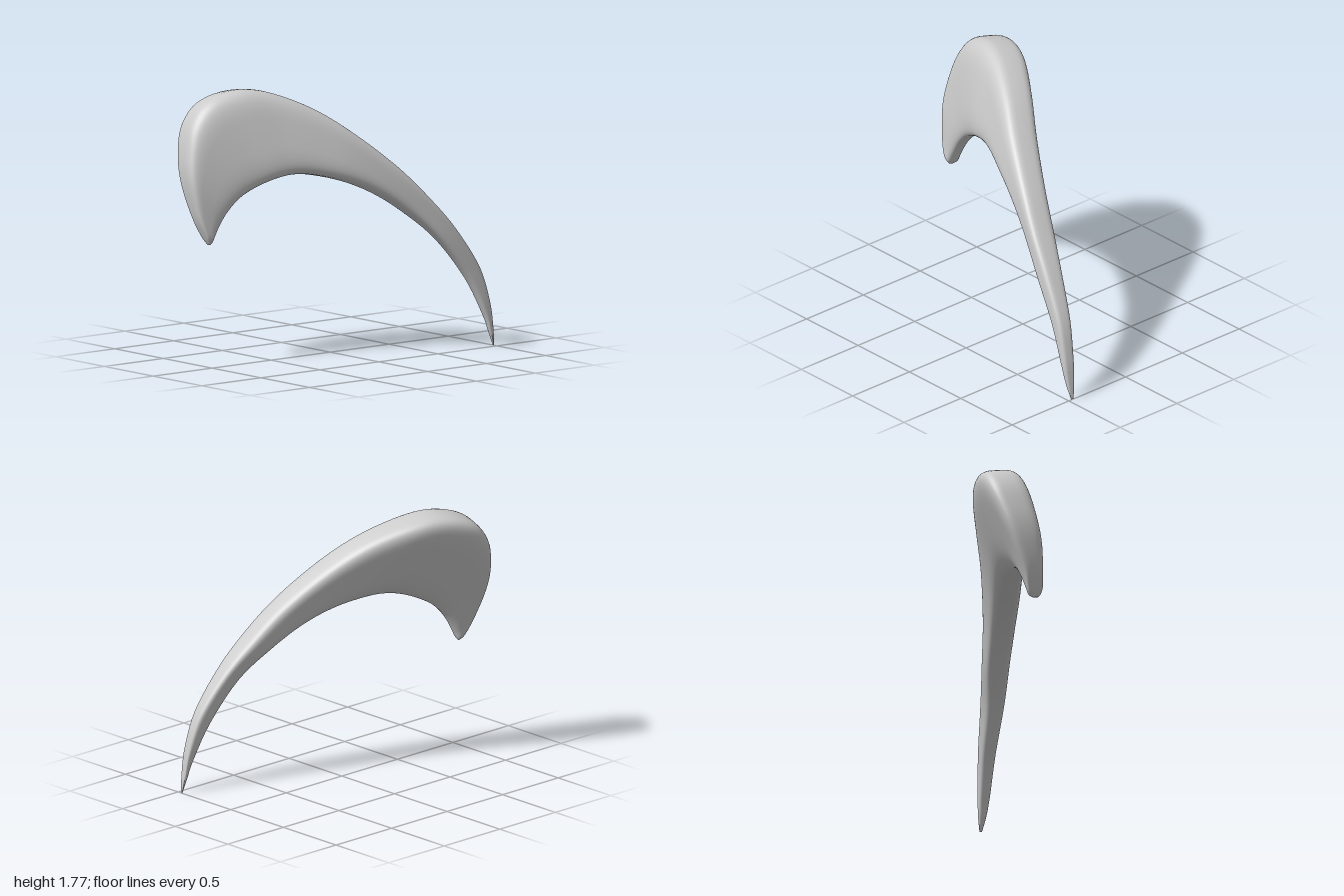
import * as THREE from 'three';

// Stations from the thin tip to the broad end:
// outer edge x, y, z, half thickness | inner edge x, y, z, half thickness
const STATIONS = [
  [1, 0, .468, .008, .996, 0, .468, .008],
  [.987, .13, .466, .026, .963, .09, .467, .024],
  [.96, .3, .46, .038, .92, .21, .46, .035],
  [.89, .53, .435, .052, .8, .46, .425, .047],
  [.73, .79, .38, .072, .6, .73, .37, .058],
  [.56, 1, .315, .09, .4, .92, .28, .073],
  [.36, 1.22, .22, .1, .2, 1.06, .2, .083],
  [.1, 1.455, .07, .115, 0, 1.15, .12, .092],
  [-.13, 1.625, -.085, .13, -.2, 1.2, .03, .097],
  [-.38, 1.735, -.24, .147, -.33, 1.205, -.02, .097],
  [-.58, 1.755, -.325, .158, -.45, 1.18, -.06, .093],
  [-.78, 1.69, -.38, .16, -.57, 1.13, -.105, .085],
  [-.905, 1.55, -.385, .15, -.67, 1.07, -.135, .075],
  [-.97, 1.36, -.345, .13, -.75, .99, -.153, .065],
  [-.99, 1.18, -.29, .105, -.8, .92, -.163, .057],
  [-.965, .97, -.225, .067, -.84, .85, -.168, .05],
  [-.92, .84, -.185, .048, -.865, .8, -.17, .042],
  [-.89, .78, -.17, .015, -.88, .78, -.17, .015],
];

const curveOf = (pick) => new THREE.CatmullRomCurve3(
  STATIONS.map((s) => new THREE.Vector3(...pick(s))), false, 'catmullrom', 0.5);

function hornGeometry(steps = 85, sides = 48) {
  const outer = curveOf((s) => s.slice(0, 3));
  const inner = curveOf((s) => s.slice(4, 7));
  const half = curveOf((s) => [s[3], s[7], 0]);
  const across = new THREE.Vector3(-.25, .17, 1); // direction of the thickness
  const round = (v) => Math.sign(v) * Math.abs(v) ** 0.55;
  const pos = [], index = [], p = new THREE.Vector3();

  // Rounded-rectangle cross-sections spanning inner to outer edge
  for (let i = 0; i <= steps; i++) {
    const t = i / steps;
    const o = outer.getPoint(t), n = inner.getPoint(t), h = half.getPoint(t);
    for (let j = 0; j < sides; j++) {
      const a = (j / sides) * Math.PI * 2;
      const w = (1 + round(Math.cos(a))) / 2;
      p.lerpVectors(n, o, w);
      p.addScaledVector(across, round(Math.sin(a)) * THREE.MathUtils.lerp(h.y, h.x, w));
      pos.push(p.x, p.y, p.z);
    }
  }
  for (let i = 0; i < steps; i++) {
    for (let j = 0; j < sides; j++) {
      const k = (j + 1) % sides;
      const a = i * sides + j, b = i * sides + k;
      index.push(a, a + sides, b, b, a + sides, b + sides);
    }
  }
  // Close both ends
  for (const t of [0, 1]) {
    const c = pos.length / 3, base = t * steps * sides;
    p.lerpVectors(inner.getPoint(t), outer.getPoint(t), 0.5);
    pos.push(p.x, p.y, p.z);
    for (let j = 0; j < sides; j++) {
      const a = base + j, b = base + (j + 1) % sides;
      if (t) index.push(c, b, a); else index.push(c, a, b);
    }
  }
  const geo = new THREE.BufferGeometry();
  geo.setAttribute('position', new THREE.Float32BufferAttribute(pos, 3));
  geo.setIndex(index);
  geo.computeVertexNormals();
  return geo;
}

export function createModel() {
  const group = new THREE.Group();
  group.name = 'curvedHorn';
  const horn = new THREE.Mesh(hornGeometry(),
    new THREE.MeshStandardMaterial({ color: 0xcccccc, side: THREE.DoubleSide }));
  horn.name = 'hornBlade';
  group.add(horn);
  return group;
}
